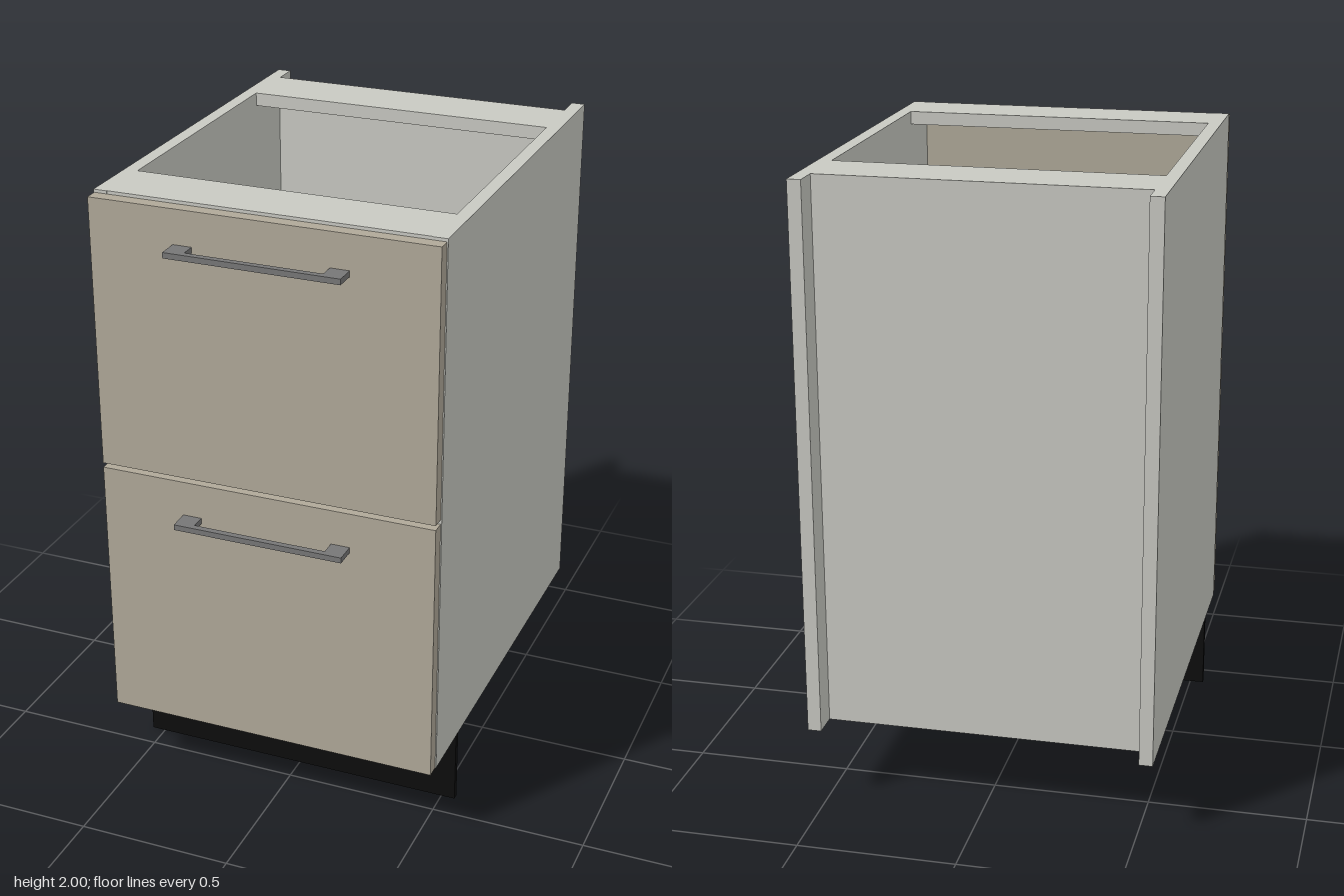
import * as THREE from 'three';

const material = (name, color) => {
  const m = new THREE.MeshStandardMaterial({ color });
  m.name = name;
  return m;
};

export function createModel() {
  const carcass = material('light grey board', 0xc8c9c2);
  const tan = material('tan front', 0xb0a999);
  const steel = material('grey metal', 0x777777);
  const black = material('black plinth', 0x0d0d0d);

  const model = new THREE.Group();
  model.name = 'drawerCabinet';

  // Box given by its limits on each axis
  const board = (name, mat, [x0, x1], [y0, y1], [z0, z1], parent = model) => {
    const mesh = new THREE.Mesh(new THREE.BoxGeometry(x1 - x0, y1 - y0, z1 - z0), mat);
    mesh.position.set((x0 + x1) / 2, (y0 + y1) / 2, (z0 + z1) / 2);
    mesh.name = name;
    parent.add(mesh);
  };

  const base = 0.25, top = 2, outer = 0.547, inner = 0.504;
  const inside = [-inner, inner];

  // Carcass: sides, floor, thin back set forward, two top rails
  board('leftSide', carcass, [inner, outer], [base, top], [-0.727, 0.616]);
  board('rightSide', carcass, [-outer, -inner], [base, top], [-0.727, 0.616]);
  board('floor', carcass, inside, [base, base + 0.043], [-0.633, 0.616]);
  board('backPanel', carcass, inside, [base, top], [-0.641, -0.633]);
  board('backRail', carcass, inside, [top - 0.043, top], [-0.633, -0.441]);
  board('frontRail', carcass, inside, [top - 0.043, top], [0.42, 0.614]);

  // Recessed plinth
  board('plinth', black, [-0.545, 0.545], [0, base], [0.4, 0.42]);

  // Bar handle with two flat feet, as one bracket outline seen from above
  const bracket = new THREE.Shape([
    [-0.274, 0.658], [-0.214, 0.658], [-0.214, 0.707], [0.214, 0.707],
    [0.214, 0.658], [0.274, 0.658], [0.274, 0.727], [-0.274, 0.727],
  ].map(([x, z]) => new THREE.Vector2(x, z)));
  const handleGeometry = new THREE.ExtrudeGeometry(bracket, { depth: 0.018, bevelEnabled: false });
  handleGeometry.rotateX(Math.PI / 2);

  // Drawer fronts with handles
  const drawers = [
    { name: 'lowerDrawer', y: [0.25, 1.113], handleTop: 1.0 },
    { name: 'upperDrawer', y: [1.128, 1.991], handleTop: 1.882 },
  ];
  for (const { name, y, handleTop } of drawers) {
    const drawer = new THREE.Group();
    drawer.name = name;
    board(name + 'Front', tan, [-0.544, 0.544], y, [0.617, 0.659], drawer);
    const handle = new THREE.Mesh(handleGeometry, steel);
    handle.name = name + 'Handle';
    handle.position.y = handleTop;
    drawer.add(handle);
    model.add(drawer);
  }
  return model;
}
